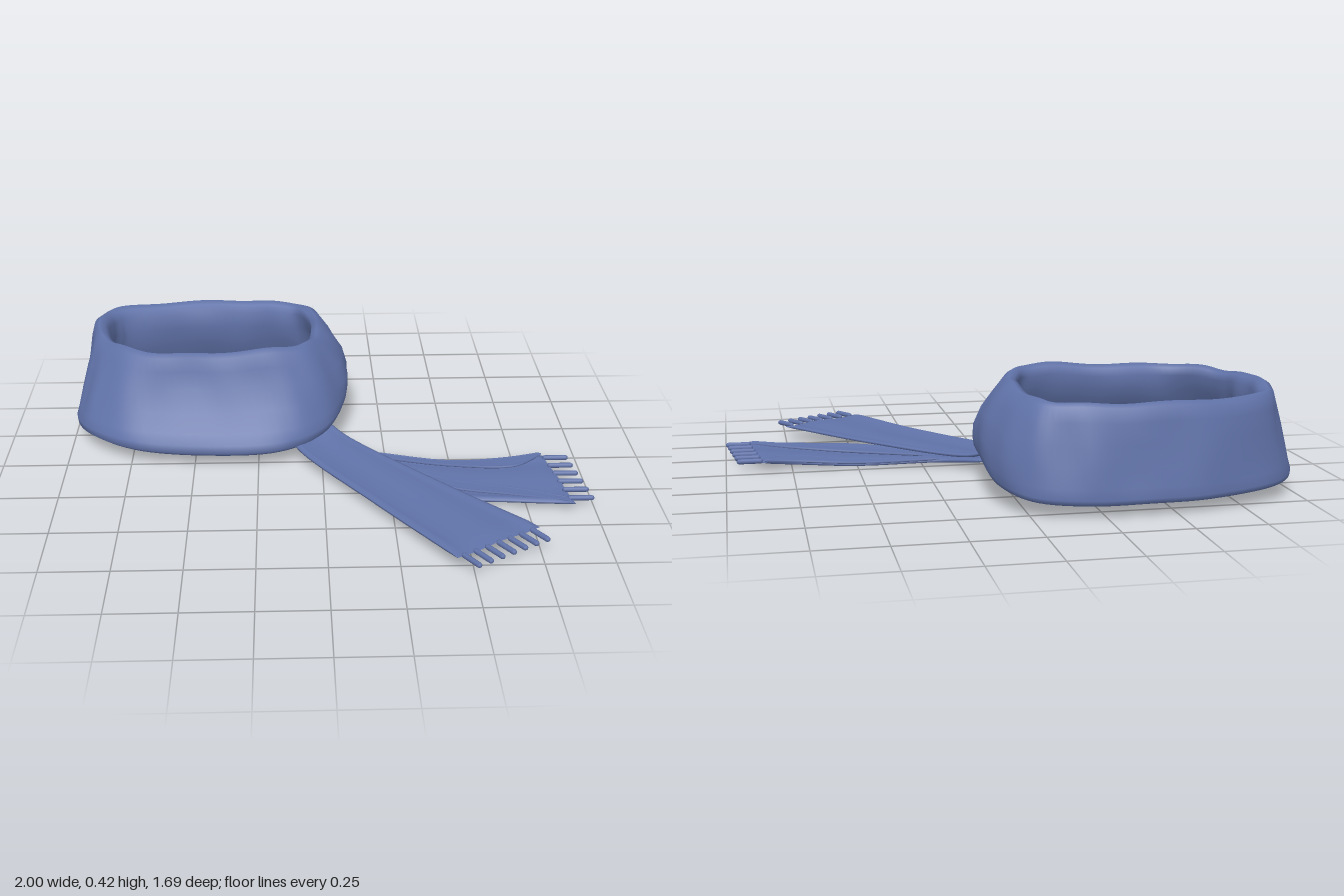
import * as THREE from 'three';

const V = (p) => new THREE.Vector3(...p);
const wool = new THREE.MeshStandardMaterial({ color: 0x6072a8, roughness: 0.9, side: THREE.DoubleSide });

// Smooth skin over closed sections; the path itself may also be closed.
function loft(rings, closedPath) {
  const m = rings[0].length, n = rings.length, pos = [], idx = [];
  rings.forEach((r) => r.forEach((p) => pos.push(p.x, p.y, p.z)));
  for (let i = 0; i < (closedPath ? n : n - 1); i++) {
    for (let j = 0; j < m; j++) {
      const i2 = (i + 1) % n, j2 = (j + 1) % m;
      const a = i * m + j, b = i2 * m + j, c = i2 * m + j2, d = i * m + j2;
      idx.push(a, b, d, b, c, d);
    }
  }
  const g = new THREE.BufferGeometry();
  g.setAttribute('position', new THREE.Float32BufferAttribute(pos, 3));
  g.setIndex(idx);
  g.computeVertexNormals();
  return g;
}

function addMesh(parent, geometry, name) {
  const mesh = new THREE.Mesh(geometry, wool);
  mesh.name = name;
  parent.add(mesh);
  return mesh;
}

// Lower and upper outlines of the neck loop, as x, y, z
const hem = [
  [-0.45, 0.08, 0.045], [-0.75, 0.09, 0.005], [-0.93, 0.09, -0.12], [-0.99, 0.085, -0.24],
  [-0.985, 0.085, -0.42], [-1, 0.075, -0.6], [-0.91, 0.06, -0.72], [-0.62, 0.05, -0.825],
  [-0.4, 0.05, -0.845], [-0.18, 0.05, -0.84], [0, 0.06, -0.78], [0.09, 0.085, -0.63],
  [0.11, 0.135, -0.4], [0.09, 0.13, -0.22], [0.01, 0.1, -0.07], [-0.16, 0.09, 0.04]];
const brim = [
  [-0.45, 0.395, -0.135], [-0.66, 0.395, -0.15], [-0.81, 0.395, -0.24], [-0.885, 0.39, -0.34],
  [-0.92, 0.4, -0.44], [-0.92, 0.39, -0.58], [-0.87, 0.38, -0.7], [-0.65, 0.375, -0.77],
  [-0.4, 0.375, -0.79], [-0.2, 0.375, -0.775], [-0.06, 0.38, -0.72], [0, 0.385, -0.6],
  [0.01, 0.395, -0.42], [-0.01, 0.4, -0.28], [-0.08, 0.41, -0.18], [-0.22, 0.41, -0.14]];

// Closed wall section, inside to outside: [height share, inset from outer surface, drop]
const wall = [
  [0.2, 0.065, 0], [0.45, 0.08, 0], [0.7, 0.08, 0], [0.9, 0.066, 0], [0.98, 0.045, -0.003], [1, 0.02, -0.008],
  [0.97, 0.003, -0.003], [0.82, 0, 0], [0.6, 0, 0], [0.35, 0, 0], [0.15, 0, 0], [0.04, 0, 0],
  [0, 0.006, 0.012], [0, 0.025, 0.024], [0.03, 0.045, 0.028]];

function neckLoop() {
  const low = new THREE.CatmullRomCurve3(hem.map(V), true);
  const high = new THREE.CatmullRomCurve3(brim.map(V), true);
  const rings = [];
  for (let i = 0; i < 112; i++) {
    const t = i / 112, a = low.getPoint(t), b = high.getPoint(t);
    const tan = low.getTangent(t).add(high.getTangent(t));
    const out = new THREE.Vector3(tan.z, 0, -tan.x).normalize();
    if (out.dot(a.clone().sub(V([-0.44, a.y, -0.42]))) < 0) out.negate();
    const front = Math.max(0, out.z), back = Math.max(0, -out.z), left = Math.max(0, out.x), right = Math.max(0, -out.x);
    // Left side and far front corner swell, front sags inward, with soft creases all round
    const bulge = 0.045 * left * (1 - 0.6 * back) + right * (0.07 * front - 0.006) - 0.035 * front;
    rings.push(wall.map(([h, inset, drop]) => {
      const p = a.clone().lerp(b, h);
      const crease = 0.004 * Math.sin(t * Math.PI * 18 + h * 4) + 0.003 * Math.sin(t * Math.PI * 34 - h * 3);
      p.addScaledVector(out, Math.sin(Math.PI * h) * (bulge + crease) - inset * (1.05 - 0.15 * out.z));
      p.y += 0.003 * h * Math.sin(t * Math.PI * 22) - drop * (0.4 + front);
      return p;
    }));
  }
  return loft(rings, true);
}

// Thin cloth strip between two edge curves, with rolled edges
function strip(edgeA, edgeB, thick = 0.006, roll = 0.008, ripple = 0.003) {
  const A = new THREE.CatmullRomCurve3(edgeA.map(V)), B = new THREE.CatmullRomCurve3(edgeB.map(V));
  const rows = 28, cols = 20, rings = [];
  for (let i = 0; i <= rows; i++) {
    const t = i / rows, a = A.getPoint(t), b = B.getPoint(t);
    const flat = i === 0 || i === rows ? 0 : 1; // pinched ends close the strip
    const ring = [];
    for (const face of [1, -1]) {
      for (let j = 0; j <= cols; j++) {
        const u = face > 0 ? j / cols : 1 - j / cols;
        const p = a.clone().lerp(b, u);
        const edge = Math.exp(-((Math.min(u, 1 - u) / 0.07) ** 2));
        const wave = ripple * Math.sin(u * 9 + t * 3) * (1 - edge);
        p.y += wave + flat * face * (thick + (face > 0 ? roll * edge : 0)) * (j === 0 || j === cols ? 0.4 : 1);
        ring.push(p);
      }
    }
    rings.push(ring);
  }
  return loft(rings, false);
}

// Row of rounded tassels from one corner of a strip's end to the other
function fringe(parent, from, to, dir, count, length) {
  const group = new THREE.Group();
  group.name = 'fringe';
  const d = V(dir).normalize();
  for (let i = 0; i < count; i++) {
    const tassel = addMesh(group, new THREE.CapsuleGeometry(0.01, length, 4, 8), 'tassel');
    tassel.position.copy(V(from).lerp(V(to), i / (count - 1))).addScaledVector(d, length / 2);
    tassel.quaternion.setFromUnitVectors(new THREE.Vector3(0, 1, 0), d);
  }
  parent.add(group);
}

export function createModel() {
  const scarf = new THREE.Group();
  scarf.name = 'scarf';
  addMesh(scarf, neckLoop(), 'neckLoop');

  // Upper tail, lying diagonally toward the front
  const upper = new THREE.Group();
  upper.name = 'upperTail';
  addMesh(upper, strip(
    [[-0.13, 0.085, -0.06], [-0.09, 0.06, 0.015], [0.18, 0.046, 0.4], [0.44, 0.054, 0.785]],
    [[0.03, 0.085, -0.17], [0.1, 0.058, -0.1], [0.44, 0.046, 0.26], [0.755, 0.054, 0.595]]), 'upperTailCloth');
  fringe(upper, [0.465, 0.055, 0.77], [0.725, 0.055, 0.615], [0.56, 0, 0.8], 7, 0.075);
  scarf.add(upper);

  // Lower tail, tucked underneath and running to the side
  const lower = new THREE.Group();
  lower.name = 'lowerTail';
  addMesh(lower, strip(
    [[-0.08, 0.045, -0.04], [0.16, 0.025, 0.13], [0.5, 0.02, 0.335], [0.7, 0.024, 0.37], [0.925, 0.03, 0.4]],
    [[0.04, 0.045, -0.15], [0.2, 0.018, 0.0], [0.5, 0.006, 0.045], [0.7, 0.018, 0.055], [0.865, 0.035, 0.04]]), 'lowerTailCloth');
  // Folded-over flap along its rear edge, and a pleat along the front one
  addMesh(lower, strip(
    [[0.18, 0.03, 0.02], [0.5, 0.02, 0.085], [0.74, 0.036, 0.125], [0.855, 0.042, 0.05]],
    [[0.19, 0.03, -0.015], [0.5, 0.016, 0.04], [0.72, 0.03, 0.045], [0.86, 0.042, 0.032]], 0.004, 0.004, 0), 'foldedFlap');
  addMesh(lower, strip(
    [[0.2, 0.03, 0.1], [0.47, 0.024, 0.26], [0.7, 0.03, 0.33], [0.91, 0.038, 0.395]],
    [[0.24, 0.03, 0.06], [0.5, 0.022, 0.2], [0.72, 0.029, 0.28], [0.91, 0.036, 0.37]], 0.004, 0.004, 0), 'pleat');
  fringe(lower, [0.87, 0.037, 0.06], [0.91, 0.035, 0.365], [1, 0, 0.01], 6, 0.08);
  scarf.add(lower);

  return scarf;
}
